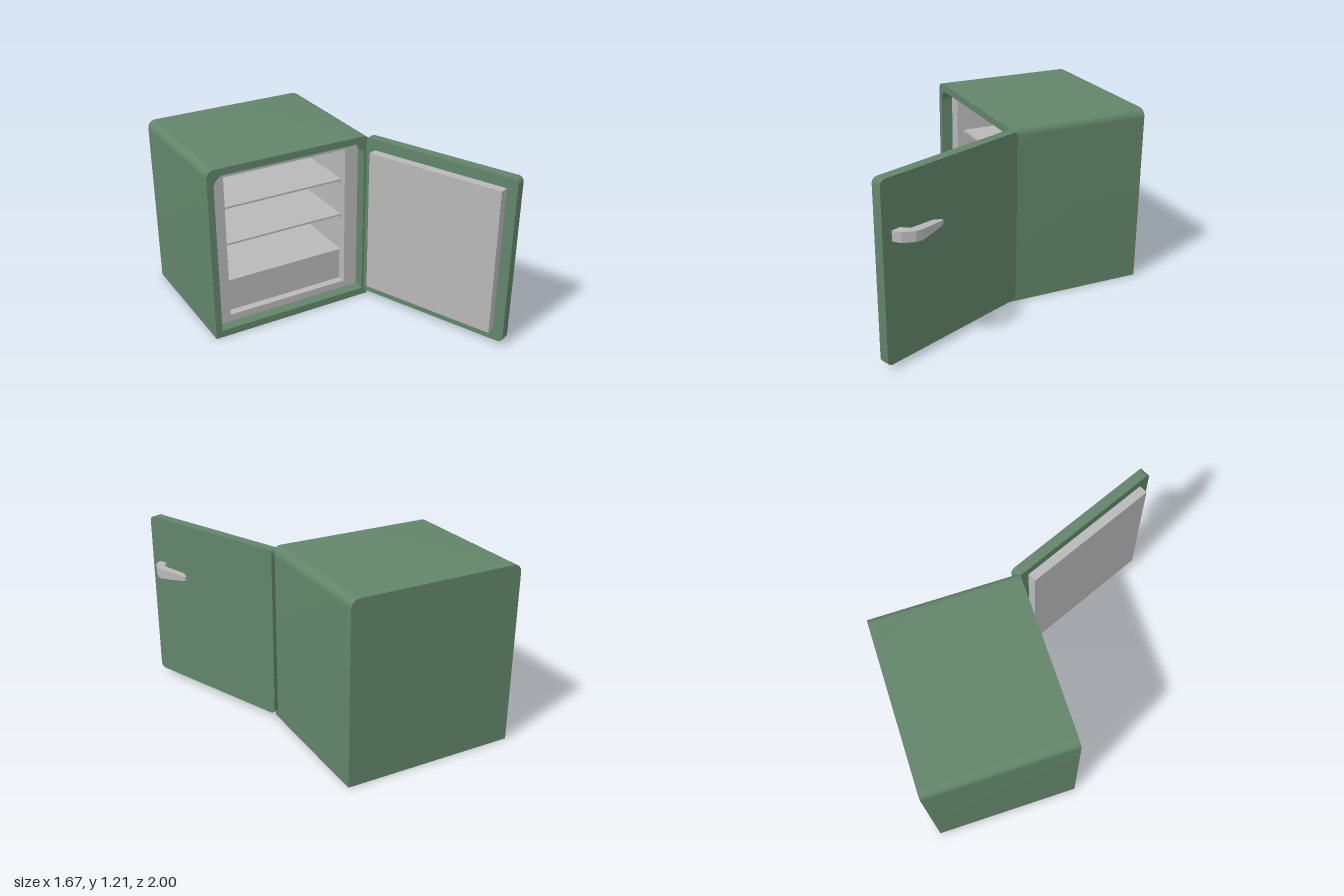
import * as THREE from 'three';
import { toCreasedNormals } from 'three/addons/utils/BufferGeometryUtils.js';

const green = new THREE.MeshStandardMaterial({ color: 0x62856a });
green.name = 'green enamel';
const grey = new THREE.MeshStandardMaterial({ color: 0xb8b8b8 });
grey.name = 'light grey';

function add(parent, name, geometry, material) {
  const mesh = new THREE.Mesh(geometry, material);
  mesh.name = name;
  parent.add(mesh);
  return mesh;
}

// Box given by its minimum and maximum on each axis
function box(x0, x1, y0, y1, z0, z1) {
  return new THREE.BoxGeometry(x1 - x0, y1 - y0, z1 - z0)
    .translate((x0 + x1) / 2, (y0 + y1) / 2, (z0 + z1) / 2);
}

// Rectangle with separate radii for the upper and lower corners
function outline(x0, x1, y0, y1, top, bottom, Type = THREE.Shape) {
  const s = new Type();
  s.moveTo(x0 + bottom, y0);
  s.lineTo(x1 - bottom, y0);
  if (bottom) s.absarc(x1 - bottom, y0 + bottom, bottom, -Math.PI / 2, 0);
  s.lineTo(x1, y1 - top);
  if (top) s.absarc(x1 - top, y1 - top, top, 0, Math.PI / 2);
  s.lineTo(x0 + top, y1);
  if (top) s.absarc(x0 + top, y1 - top, top, Math.PI / 2, Math.PI);
  s.lineTo(x0, y0 + bottom);
  if (bottom) s.absarc(x0 + bottom, y0 + bottom, bottom, Math.PI, Math.PI * 1.5);
  return s;
}

function slab(shape, z0, z1) {
  const g = new THREE.ExtrudeGeometry(shape, { depth: z1 - z0, bevelEnabled: false, curveSegments: 8 });
  return toCreasedNormals(g.translate(0, 0, z0), 0.6);
}

export function createModel() {
  const model = new THREE.Group();
  model.name = 'openRefrigerator';

  // Cabinet shell, open at the front, with a solid back
  const cabinet = new THREE.Group();
  cabinet.name = 'cabinet';
  model.add(cabinet);
  const body = () => outline(-0.835, 0.34, 0, 1.213, 0.055, 0);
  const shell = body();
  shell.holes.push(outline(-0.79, 0.295, 0.05, 1.165, 0.08, 0, THREE.Path));
  add(cabinet, 'cabinetShell', slab(shell, -0.95, -0.02), green);
  add(cabinet, 'cabinetBack', slab(body(), -1, -0.95), green);

  // Recessed inner lining with the storage cavity
  const lining = outline(-0.79, 0.295, 0.05, 1.165, 0.08, 0);
  lining.holes.push(outline(-0.69, 0.195, 0.1, 1.11, 0, 0, THREE.Path));
  add(cabinet, 'innerLining', slab(lining, -0.95, -0.1), grey);
  add(cabinet, 'liningBack', box(-0.69, 0.195, 0.1, 1.11, -0.95, -0.9), grey);

  // Shelves on side rails, with a drawer below the lowest
  for (const y of [0.875, 0.611, 0.334]) {
    add(cabinet, 'shelf', box(-0.69, 0.195, y - 0.013, y, -0.9, -0.15), grey);
    if (y < 0.4) continue;
    for (const x of [-0.69, 0.187])
      add(cabinet, 'shelfRail', box(x, x + 0.008, y - 0.04, y - 0.013, -0.9, -0.15), grey);
  }
  add(cabinet, 'drawer', box(-0.682, 0.187, 0.1, 0.318, -0.9, -0.155), grey);

  // Door: hinge edge at local x = 0, outer face at local z = 0
  const door = new THREE.Group();
  door.name = 'door';
  door.position.set(0.369, 0, -0.06);
  door.rotation.y = THREE.MathUtils.degToRad(112.5);
  model.add(door);
  add(door, 'doorPanel', slab(outline(-1.118, 0, 0.033, 1.2, 0.035, 0.035), -0.067, 0), green);
  add(door, 'doorLining', box(-1.045, -0.081, 0.113, 1.125, -0.128, -0.067), grey);

  // Hooked handle, as distance from hinge and height off the door
  const profile = [
    [1.05, -0.003], [1.03, 0.056], [0.963, 0.104], [0.918, 0.113], [0.755, 0.083],
    [0.722, 0.075], [0.723, 0.059], [0.774, 0.038], [0.952, 0.05], [0.988, -0.003],
  ].map(([u, n]) => new THREE.Vector2(-u, n));
  const handle = new THREE.ExtrudeGeometry(new THREE.Shape(profile), { depth: 2, bevelEnabled: false });
  handle.translate(0, 0, -1).rotateX(Math.PI / 2);
  // Taper the height towards the free tip
  const p = handle.attributes.position;
  for (let i = 0; i < p.count; i++) {
    const t = THREE.MathUtils.clamp((-p.getX(i) - 0.72) / 0.18, 0, 1);
    p.setY(i, 0.851 + p.getY(i) * THREE.MathUtils.lerp(0.014, 0.033, t));
  }
  handle.computeVertexNormals();
  add(door, 'handle', toCreasedNormals(handle, 0.4), grey);

  return model;
}
